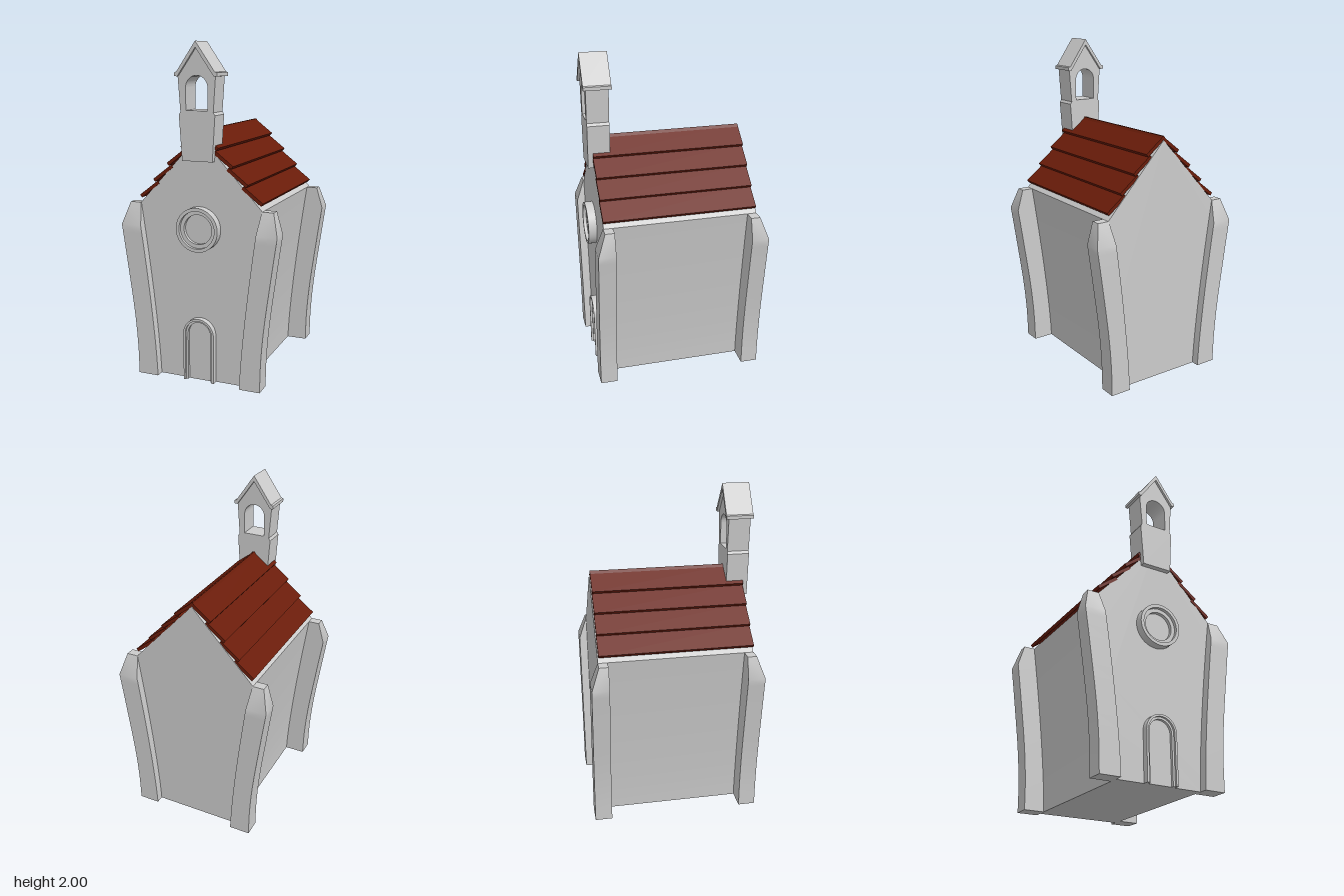
import * as THREE from 'three';
import { toCreasedNormals } from 'three/addons/utils/BufferGeometryUtils.js';

const stone = new THREE.MeshStandardMaterial({ color: 0xcccccc });
const tile = new THREE.MeshStandardMaterial({ color: 0x6a1c09 });

function add(parent, name, geometry, material = stone) {
  const mesh = new THREE.Mesh(toCreasedNormals(geometry, 0.5), material);
  mesh.name = name;
  parent.add(mesh);
  return mesh;
}

const points = list => list.map(p => new THREE.Vector2(...p));

// Extrude a front-facing shape from z0 to z1
function slab(shape, z0, z1) {
  return new THREE.ExtrudeGeometry(shape, { depth: z1 - z0, bevelEnabled: false, curveSegments: 16 })
    .translate(0, 0, z0);
}

// Closed outline from its right half [x, y], mirrored to the left
function symmetric(half) {
  const left = half.filter(p => p[0] > 0).map(([x, y]) => [-x, y]).reverse();
  return new THREE.Shape(points([...half, ...left]));
}

// Round-headed doorway outline
function arch(w, y0, spring, Type = THREE.Shape) {
  const s = new Type();
  s.moveTo(-w, y0);
  s.lineTo(w, y0);
  s.lineTo(w, spring);
  s.absarc(0, spring, w, 0, Math.PI, false);
  s.closePath();
  return s;
}

// Arched band with its legs open at the ground
function archBand(outer, inner, spring) {
  const s = new THREE.Shape();
  s.moveTo(outer, 0);
  s.lineTo(outer, spring);
  s.absarc(0, spring, outer, 0, Math.PI, false);
  s.lineTo(-outer, 0);
  s.lineTo(-inner, 0);
  s.lineTo(-inner, spring);
  s.absarc(0, spring, inner, Math.PI, 0, true);
  s.lineTo(inner, 0);
  return s;
}

// Solid through four-cornered rings stacked upwards
function loft(rings, flip) {
  const pos = [], index = [];
  const tri = (a, b, c) => flip ? index.push(a, c, b) : index.push(a, b, c);
  rings.forEach(r => r.forEach(p => pos.push(...p)));
  for (let i = 0; i < rings.length - 1; i++) {
    for (let k = 0; k < 4; k++) {
      const a = i * 4 + k, b = i * 4 + (k + 1) % 4;
      tri(a, a + 4, b);
      tri(b, a + 4, b + 4);
    }
  }
  const t = (rings.length - 1) * 4;
  tri(0, 1, 2); tri(0, 2, 3);
  tri(t, t + 2, t + 1); tri(t, t + 3, t + 2);
  const g = new THREE.BufferGeometry();
  g.setAttribute('position', new THREE.Float32BufferAttribute(pos, 3));
  g.setIndex(index);
  return g;
}

// Half width of the nave, flaring with height up to the eaves
const EAVES = 1.062;
const wallX = y => 0.268 + 0.116 * Math.pow(y / EAVES, 1.35);

// Flaring corner pillar; sx and sz pick the corner
function pillar(sx, sz) {
  const outer = new THREE.SplineCurve(points([
    [0.394, 0], [0.397, 0.15], [0.407, 0.3], [0.423, 0.45], [0.446, 0.62], [0.471, 0.8], [0.49, 0.93],
  ])).getPoints(14);
  const ring = (xo, y, zo) => {
    const xi = wallX(y) - 0.002;
    return [[xi, 0.41], [xo, 0.41], [xo, zo], [xi, zo]].map(([x, z]) => [sx * x, y, sz * z]);
  };
  const rings = outer.map(p => ring(p.x, p.y, 0.514));
  rings.push(ring(0.452, EAVES, 0.466));
  return loft(rings, sx * sz < 0);
}

export function createModel() {
  const church = new THREE.Group();
  church.name = 'chapel';

  // Nave with flaring side walls and a gable
  const wall = [];
  for (let i = 0; i <= 12; i++) wall.push([wallX(EAVES * i / 12), EAVES * i / 12]);
  add(church, 'nave', slab(symmetric([...wall, [0, 1.478]]), -0.465, 0.463));

  // Corner pillars
  for (const sx of [-1, 1]) for (const sz of [-1, 1]) {
    add(church, `${sz > 0 ? 'front' : 'back'}${sx > 0 ? 'Left' : 'Right'}Pillar`, pillar(sx, sz));
  }

  // Roof: four overlapping boards on each slope
  const roof = new THREE.Group();
  roof.name = 'roof';
  church.add(roof);
  for (const s of [-1, 1]) {
    for (let i = 0; i < 4; i++) {
      const x = 0.388 - i * 0.09, y = 1.108 + i * 0.1;
      const run = i === 3 ? 0.122 : 0.118, rise = run * 0.77;
      const board = [[x, y], [x - run, y + rise], [x - run - 0.012, y + rise - 0.016], [x - 0.012, y - 0.016]];
      add(roof, 'roofBoard', slab(new THREE.Shape(points(board.map(([px, py]) => [s * px, py]))), -0.46, 0.465), tile);
    }
  }

  // Bell tower: tapered base, notch, and an upper stage with an arched opening
  const tower = symmetric([
    [0.094, 1.33], [0.111, 1.592], [0.101, 1.608], [0.116, 1.815], [0, 1.975],
  ]);
  tower.holes.push(arch(0.067, 1.617, 1.745, THREE.Path));
  add(church, 'bellTower', slab(tower, 0.362, 0.495));

  // Tower cap, a folded slab with overhanging eaves
  const cap = points([
    [0, 2], [-0.117, 1.832], [-0.13, 1.828], [-0.13, 1.808], [-0.112, 1.806], [0, 1.965],
    [0.112, 1.806], [0.13, 1.808], [0.13, 1.828], [0.117, 1.832],
  ]);
  add(church, 'towerCap', slab(new THREE.Shape(cap), 0.346, 0.51));

  // Round window with stepped rings
  const profile = points([
    [0.131, 0], [0.131, 0.054], [0.111, 0.054], [0.111, 0.034], [0.088, 0.034], [0.088, 0.012], [0, 0.012],
  ]);
  add(church, 'roundWindow', new THREE.LatheGeometry(profile, 40).rotateX(Math.PI / 2))
    .position.set(0, 0.933, 0.46);

  // Door with a stepped arched surround
  add(church, 'doorOuterFrame', slab(archBand(0.098, 0.085, 0.293), 0.45, 0.5));
  add(church, 'doorInnerFrame', slab(archBand(0.085, 0.072, 0.293), 0.45, 0.487));
  add(church, 'door', slab(arch(0.072, 0, 0.293), 0.45, 0.47));

  return church;
}
